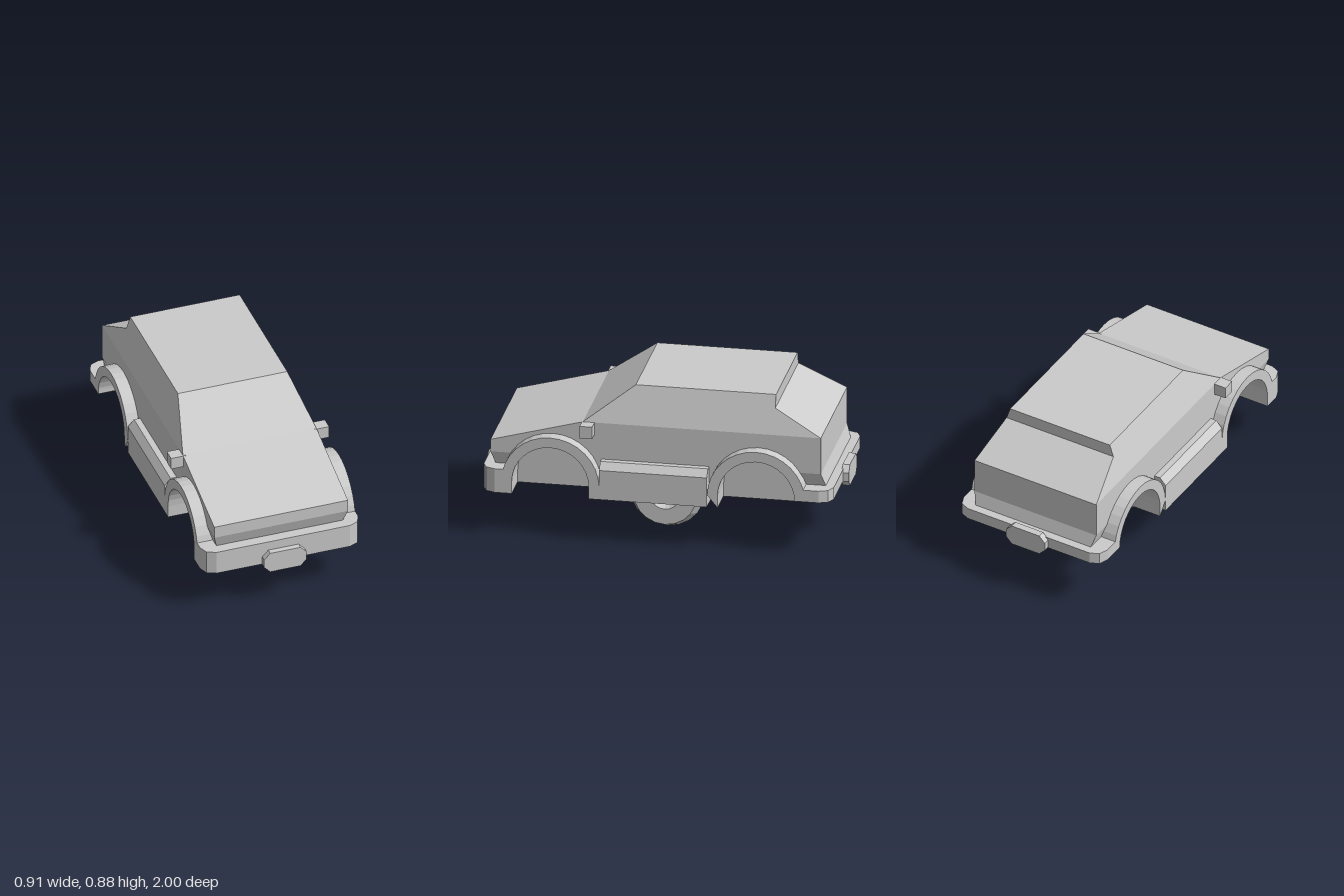
import * as THREE from 'three';

const material = new THREE.MeshStandardMaterial({ color: 0xcccccc, flatShading: true });
const HALF = 0.385, OUTER = 0.455, INNER = 0.28; // body, fender and wheel-well half widths
const AXLES = [0.5875, -0.55], ARCH_Y = 0.32, ARCH_IN = 0.2125, ARCH_OUT = 0.27;

const shapeOf = (pts) => new THREE.Shape(pts.map(([a, b]) => new THREE.Vector2(a, b)));
const extrude = (shape, depth) =>
  new THREE.ExtrudeGeometry(shape, { depth, bevelEnabled: false, curveSegments: 8 });

// Side outline (z, y) extruded across x from x0 to x1
const sideSolid = (shape, x0, x1) =>
  extrude(shape, x1 - x0).rotateY(-Math.PI / 2).translate(x1, 0, 0);

// Plan outline (x, z) extruded in height from y0 to y1
const planSolid = (shape, y0, y1) =>
  extrude(shape, y1 - y0).rotateX(Math.PI / 2).translate(0, y1, 0);

// Apply a rule to every vertex
function warp(geometry, rule) {
  const pos = geometry.attributes.position, v = new THREE.Vector3();
  for (let i = 0; i < pos.count; i++) {
    rule(v.fromBufferAttribute(pos, i));
    pos.setXYZ(i, v.x, v.y, v.z);
  }
  geometry.computeVertexNormals();
  return geometry;
}

const boxBetween = (x0, x1, y0, y1, z0, z1) =>
  new THREE.BoxGeometry(x1 - x0, y1 - y0, z1 - z0)
    .translate((x0 + x1) / 2, (y0 + y1) / 2, (z0 + z1) / 2);

export function createModel() {
  const car = new THREE.Group();
  car.name = 'car';
  const add = (name, geometry) => {
    const mesh = new THREE.Mesh(geometry, material);
    mesh.name = name;
    car.add(mesh);
    return mesh;
  };

  // Cabin: side outline narrowing towards the roof
  const cabin = sideSolid(shapeOf([
    [0.42, 0.67], [0.14, 0.88], [-0.635, 0.88], [-0.635, 0.81], [-0.895, 0.67],
  ]), -HALF, HALF);
  add('cabin', warp(cabin, (v) => { v.x *= 1 - ((v.y - 0.67) / 0.21) * (0.07 / HALF); }));

  // Body core between the wheel wells, and the chassis below it
  add('bodyCore', sideSolid(shapeOf([
    [0.93, 0.46], [0.93, 0.53], [0.42, 0.67], [-0.895, 0.67], [-0.895, 0.46],
  ]), -INNER, INNER));
  add('chassis', boxBetween(-INNER, INNER, 0.25, 0.46, -0.76, 0.8));

  // Side panels with the wheel arches cut out
  const cut = Math.asin((0.46 - ARCH_Y) / ARCH_IN);
  const panel = new THREE.Shape();
  panel.moveTo(-0.895, 0.46);
  panel.lineTo(-0.895, 0.67);
  panel.lineTo(0.42, 0.67);
  panel.lineTo(0.93, 0.53);
  panel.lineTo(0.93, 0.46);
  panel.absarc(AXLES[0], ARCH_Y, ARCH_IN, cut, Math.PI, false);
  panel.absarc(AXLES[1], ARCH_Y, ARCH_IN, 0, Math.PI - cut, false);
  panel.closePath();

  // Arch flares: half rings, with legs down to the floor where the floor is low
  const flares = AXLES.map((z, i) => {
    const s = new THREE.Shape();
    s.moveTo(z + ARCH_OUT, 0.25);
    s.absarc(z, ARCH_Y, ARCH_OUT, 0, Math.PI, false);
    const rearFoot = i === 0 ? 0.25 : ARCH_Y;
    s.lineTo(z - ARCH_OUT, rearFoot);
    s.lineTo(z - ARCH_IN, rearFoot);
    s.absarc(z, ARCH_Y, ARCH_IN, Math.PI, 0, true);
    s.lineTo(z + ARCH_IN, 0.25);
    return s;
  });

  const sill = shapeOf([
    [INNER, 0.25], [OUTER, 0.25], [OUTER, 0.42], [0.42, 0.46], [INNER, 0.46],
  ]);

  for (const [side, s] of [['left', 1], ['right', -1]]) {
    const span = (a, b) => (s > 0 ? [a, b] : [-b, -a]);
    add(side + 'Panel', sideSolid(panel, ...span(INNER, HALF)));
    add(side + 'FrontFlare', sideSolid(flares[0], ...span(INNER, OUTER)));
    add(side + 'RearFlare', sideSolid(flares[1], ...span(INNER, OUTER)));
    const outline = s > 0 ? sill
      : shapeOf(sill.getPoints().map((p) => [-p.x, p.y]));
    add(side + 'Sill', extrude(outline, 0.595).translate(0, 0, -0.278));
    add(side + 'Mirror', boxBetween(...span(0.37, OUTER), 0.6, 0.67, 0.355, 0.425));
  }

  // Tapered lower nose and tail
  add('lowerNose', warp(boxBetween(-HALF, HALF, 0.385, 0.46, 0.8, 0.93), (v) => {
    if (v.y < 0.42) { v.x *= 0.945; if (v.z > 0.9) v.z = 0.905; }
  }));
  add('lowerTail', warp(boxBetween(-HALF, HALF, 0.385, 0.46, -0.895, -0.76), (v) => {
    if (v.y < 0.42) { v.x *= 0.945; if (v.z < -0.85) v.z = -0.92; }
  }));

  // Bumpers with faceted corners, and a plate on each
  const bumper = (dir, inner) => shapeOf([
    [-OUTER, inner], [OUTER, inner], [OUTER, 0.895], [0.435, 0.945], [0.385, 0.967],
    [-0.385, 0.967], [-0.435, 0.945], [-OUTER, 0.895],
  ].map(([x, z]) => [x, z * dir]));
  add('frontBumper', planSolid(bumper(1, 0.8), 0.25, 0.388));
  add('rearBumper', planSolid(bumper(-1, 0.76), ARCH_Y, 0.388));

  const plate = shapeOf([
    [-0.122, -0.025], [-0.087, -0.061], [0.087, -0.061], [0.122, -0.025],
    [0.122, 0.025], [0.087, 0.061], [-0.087, 0.061], [-0.122, 0.025],
  ]);
  add('frontPlate', extrude(plate, 0.04).translate(0, 0.273, 0.96));
  add('rearPlate', extrude(plate, 0.04).translate(0, 0.347, -1));

  // Central pair of wheels with dished hubs
  const profile = [
    [0, 0], [0.192, 0], [0.204, 0.035], [0.207, 0.14], [0.174, 0.21],
    [0.085, 0.21], [0.065, 0.175], [0, 0.175],
  ].map(([r, h]) => new THREE.Vector2(r, h));
  for (const [side, s] of [['left', 1], ['right', -1]]) {
    const wheel = add(side + 'Wheel',
      new THREE.LatheGeometry(profile, 20).rotateZ(-s * Math.PI / 2));
    wheel.position.y = 0.207;
  }
  return car;
}
